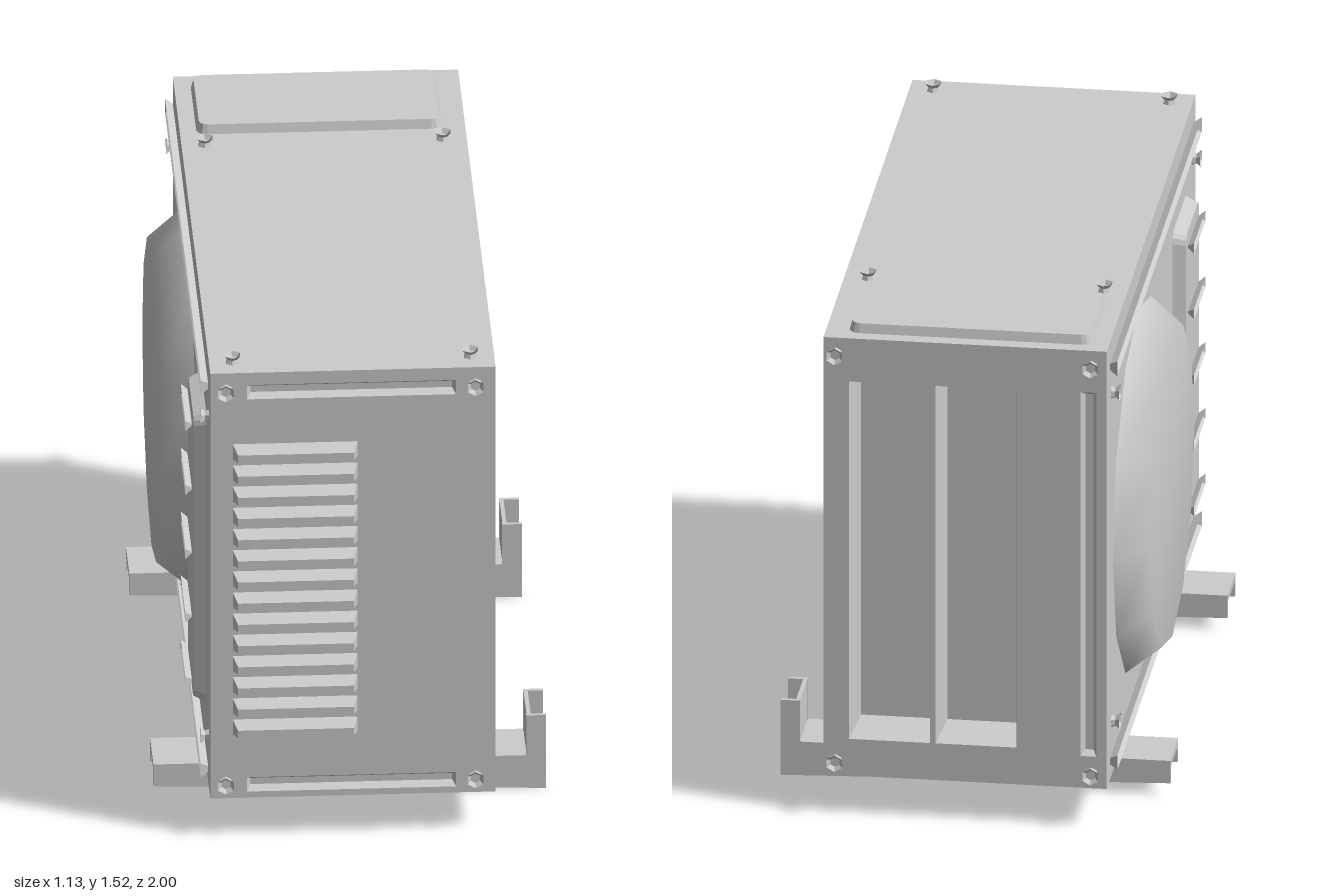
import * as THREE from 'three';

const mat = new THREE.MeshStandardMaterial({ color: 0xcccccc, side: THREE.DoubleSide });

// Cabinet limits
const X0 = -0.42, X1 = 0.405, Y0 = 0.12, Y1 = 1.49, Z0 = -0.975, Z1 = 0.95;
const CX = (X0 + X1) / 2, CY = (Y0 + Y1) / 2, CZ = (Z0 + Z1) / 2;

function add(parent, name, geo, x = 0, y = 0, z = 0) {
  const m = new THREE.Mesh(geo, mat);
  m.name = name;
  m.position.set(x, y, z);
  parent.add(m);
  return m;
}

// Outlines, counter-clockwise
function rect(w, h, r = 0) {
  const pts = [];
  for (const [sx, sy, a0] of [[1, 1, 0], [-1, 1, 1], [-1, -1, 2], [1, -1, 3]]) {
    const steps = r ? 3 : 0;
    for (let i = 0; i <= steps; i++) {
      const a = (a0 + (r ? i / steps : 0)) * Math.PI / 2;
      pts.push([sx * (w / 2 - r) + r * Math.cos(a), sy * (h / 2 - r) + r * Math.sin(a)]);
    }
  }
  return pts;
}

function hex(r) {
  return Array.from({ length: 6 }, (_, i) => {
    const a = (i + 0.5) * Math.PI / 3;
    return [r * Math.cos(a), r * Math.sin(a)];
  });
}

// Flat-sided skin from outline a (at za) to outline b (at zb), with one end closed
function loft(a, za, b, zb, cap = 'b') {
  const pos = [], n = a.length;
  const [c, zc] = cap === 'a' ? [a, za] : [b, zb];
  for (let i = 0; i < n; i++) {
    const j = (i + 1) % n;
    const A = [...a[i], za], B = [...a[j], za], C = [...b[j], zb], D = [...b[i], zb];
    pos.push(...A, ...B, ...C, ...A, ...C, ...D);
    pos.push(0, 0, zc, ...c[i], zc, ...c[j], zc);
  }
  const g = new THREE.BufferGeometry();
  g.setAttribute('position', new THREE.Float32BufferAttribute(pos, 3));
  g.computeVertexNormals();
  return g;
}

// Open trough that flares outwards
const trough = (w, h, d = 0.025) => loft(rect(w - 0.022, h - 0.026), 0.003, rect(w, h), d, 'a');
// Flared hexagonal screw head
const bolt = () => loft(hex(0.015), 0.012, hex(0.026), 0.025, 'a');

function bolts(face, xs, ys) {
  for (const x of xs) for (const y of ys) {
    add(face, 'bolt', bolt(), x, y, 0);
    add(face, 'boltShank', loft(hex(0.02), 0, hex(0.015), 0.012), x, y, 0);
  }
}

// Group whose local z points out of a cabinet wall
function makeFace(root, name, pos, rx, ry) {
  const g = new THREE.Group();
  g.name = name;
  g.position.set(...pos);
  g.rotation.set(rx, ry, 0);
  root.add(g);
  return g;
}

function buildFront(root) {
  const f = makeFace(root, 'frontSide', [0, 0, Z1], 0, 0);
  add(f, 'frontWall', new THREE.PlaneGeometry(X1 - X0, Y1 - Y0), CX, CY, 0);
  for (let i = 0; i < 14; i++)
    add(f, 'louver', loft(rect(0.36, 0.048), 0, rect(0.335, 0.024), 0.05), -0.175, 0.349 + i * 0.0683, 0);
  for (const y of [0.175, 1.44]) add(f, 'frontTrough', trough(0.605, 0.046), -0.013, y, 0);
  bolts(f, [-0.376, 0.346], [0.17, 1.435]);
}

function buildBack(root) {
  const f = makeFace(root, 'backSide', [0, 0, Z0], 0, Math.PI);
  // Wall pierced by two tall recesses; local x is mirrored here
  const wall = new THREE.Shape(rect(X1 - X0, Y1 - Y0).map(([x, y]) => new THREE.Vector2(x - CX, y + CY)));
  for (const x of [-0.212, 0.04]) {
    wall.holes.push(new THREE.Path(rect(0.236, 1.12).reverse().map(([u, v]) => new THREE.Vector2(u + x, v + 0.795))));
    add(f, 'recess', loft(rect(0.236, 1.12), 0, rect(0.2, 1.07), -0.125), x, 0.795, 0);
  }
  add(f, 'backWall', new THREE.ShapeGeometry(wall));
  add(f, 'backTrough', trough(0.046, 1.14), 0.37, 0.8, 0);
  bolts(f, [-0.37, 0.375], [0.165, 1.44]);
}

function buildFanSide(root) {
  // Local x runs along world z on this wall
  const f = makeFace(root, 'fanSide', [X0, 0, 0], 0, -Math.PI / 2);
  add(f, 'fanWall', new THREE.PlaneGeometry(Z1 - Z0, Y1 - Y0), CZ, CY, 0);

  // Twelve-sided smooth fan cover
  const profile = [[0.55, 0], [0.47, 0.1], [0, 0.1]].map(p => new THREE.Vector2(...p));
  const cover = new THREE.LatheGeometry(profile, 12);
  cover.rotateX(Math.PI / 2);
  add(f, 'fanCover', cover, -0.295, 0.79, 0);
  // Narrow rim on the inner side of the wall
  const rim = new THREE.LatheGeometry(
    [[0.55, 0], [0.55, -0.012], [0.538, -0.012], [0.538, 0]].map(p => new THREE.Vector2(...p)), 12);
  rim.rotateX(Math.PI / 2);
  add(f, 'fanRim', rim, -0.295, 0.79, 0);

  // Raised panel with five slots
  add(f, 'sidePanel', loft(rect(0.31, 0.94, 0.035), 0, rect(0.28, 0.91, 0.03), 0.037), 0.605, 0.795, 0);
  for (let i = 0; i < 5; i++)
    add(f, 'panelSlot', trough(0.245, 0.032, 0.022), 0.6, 0.385 + i * 0.206, 0.037);

  for (const y of [0.185, 1.42]) add(f, 'sideTrough', trough(1.83, 0.046), -0.017, y, 0);
  bolts(f, [-0.87, 0.88], [0.29, 1.32]);
}

function buildTopAndBase(root) {
  // Local y runs along world -z on the top
  const f = makeFace(root, 'topSide', [0, Y1, 0], -Math.PI / 2, 0);
  add(f, 'topWall', new THREE.PlaneGeometry(X1 - X0, Z1 - Z0), CX, -CZ, 0);
  add(f, 'lid', loft(rect(0.71, 0.335, 0.03), 0, rect(0.695, 0.32, 0.025), 0.028), -0.017, 0.765, 0);
  bolts(f, [-0.353, 0.335], [-0.88, 0.528]);
  const base = add(root, 'baseWall', new THREE.PlaneGeometry(X1 - X0, Z1 - Z0), CX, Y0, CZ);
  base.rotation.x = Math.PI / 2;
}

// Channel-shaped mounting arm with an upturned end
function buildBracket(root, z) {
  const g = new THREE.Group();
  g.name = 'bracket';
  g.position.z = z;
  const W = 0.172, T = 0.012;
  const side = new THREE.Shape([[-0.57, 0.037], [0.565, 0], [0.565, 0.235], [0.508, 0.235], [0.508, 0.107], [-0.57, 0.107]]
    .map(p => new THREE.Vector2(...p)));
  const plate = new THREE.ExtrudeGeometry(side, { depth: T, bevelEnabled: false });
  add(g, 'bracketSide', plate, 0, 0, -W / 2);
  add(g, 'bracketSide', plate, 0, 0, W / 2 - T);
  add(g, 'bracketTop', new THREE.BoxGeometry(1.135, 0.022, W - 0.002), -0.0025, 0.096, 0);
  add(g, 'bracketUpright', new THREE.BoxGeometry(T, 0.128, W - 0.002), 0.515, 0.171, 0);
  root.add(g);
}

export function createModel() {
  const root = new THREE.Group();
  root.name = 'outdoorUnit';
  buildFront(root);
  buildBack(root);
  buildFanSide(root);
  buildTopAndBase(root);
  for (const z of [0.609, -0.628]) buildBracket(root, z);
  return root;
}
